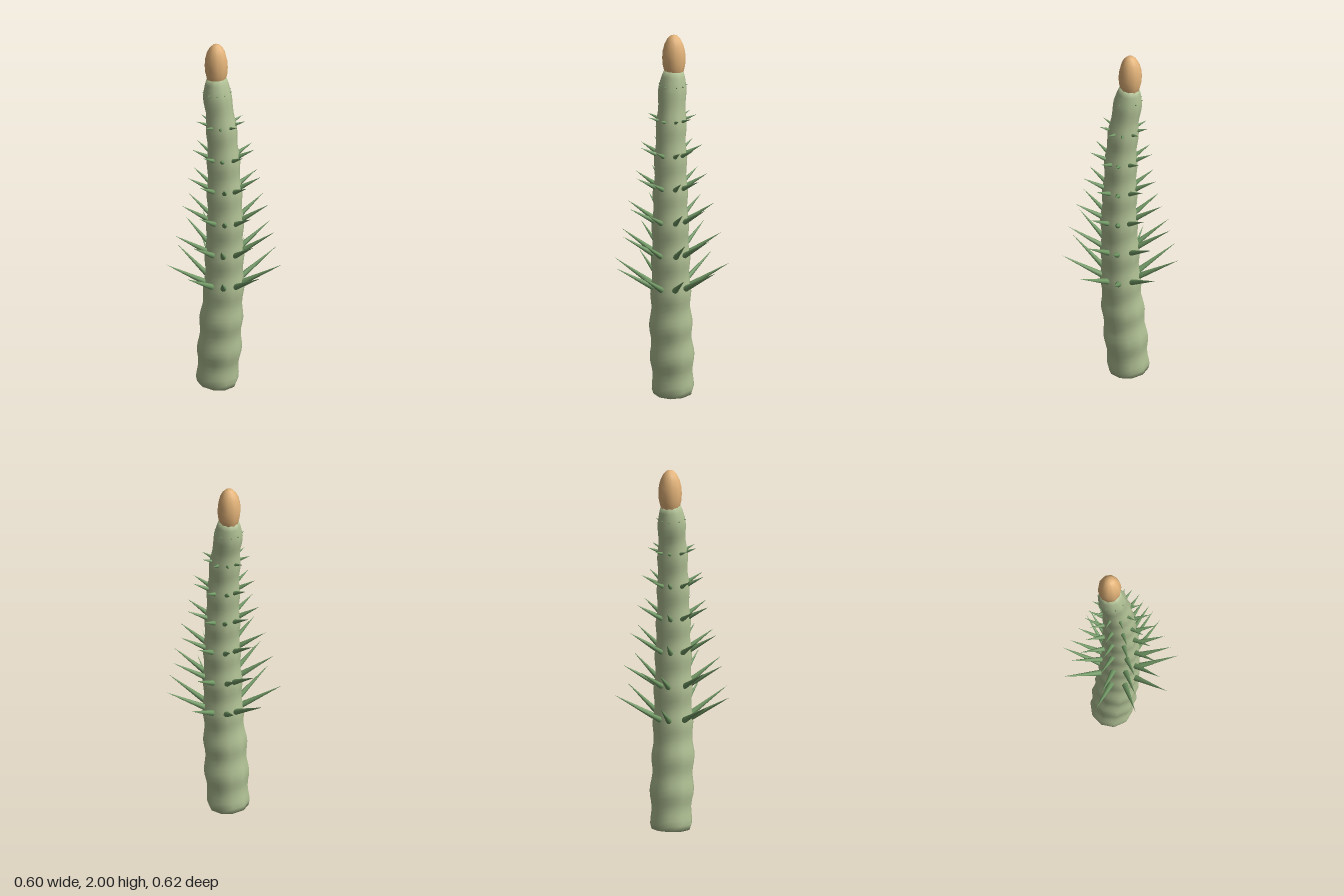
import * as THREE from 'three';
import { mergeVertices } from 'three/addons/utils/BufferGeometryUtils.js';

// Gently bowed centre line of the stalk
const spine = new THREE.CatmullRomCurve3([
  [-0.055, 0.01, -0.022], [-0.041, 0.2, -0.015], [-0.028, 0.4, -0.005], [-0.014, 0.6, -0.002],
  [-0.01, 0.8, 0], [-0.006, 1, 0.002], [-0.012, 1.2, 0], [-0.019, 1.4, -0.003],
  [-0.037, 1.6, -0.012], [-0.052, 1.7, -0.018], [-0.058, 1.8, -0.026],
].map((p) => new THREE.Vector3(...p)));

// Stalk radius by height: [height, radius]
const PROFILE = [[0, 0.1], [0.03, 0.109], [0.2, 0.116], [0.4, 0.113], [0.6, 0.106], [0.8, 0.102], [1, 0.097],
  [1.2, 0.09], [1.4, 0.084], [1.6, 0.077], [1.72, 0.073], [1.77, 0.066], [1.8, 0.056]];
const RING_STEP = 0.184;
const BASE_Y = 0.01;
const STALK_HEIGHT = 1.79;

function stalkRadius(y) {
  let i = 1;
  while (i < PROFILE.length - 1 && PROFILE[i][0] < y) i++;
  const [y0, r0] = PROFILE[i - 1], [y1, r1] = PROFILE[i];
  const base = THREE.MathUtils.lerp(r0, r1, THREE.MathUtils.clamp((y - y0) / (y1 - y0), 0, 1));
  // Soft swelling at every ring
  return base * (1 + 0.045 * Math.cos((2 * Math.PI * (y - 0.59)) / RING_STEP));
}

const upAxis = new THREE.Vector3(0, 1, 0);

function frameAt(y) {
  const u = THREE.MathUtils.clamp((y - BASE_Y) / STALK_HEIGHT, 0, 1);
  return {
    point: spine.getPointAt(u),
    turn: new THREE.Quaternion().setFromUnitVectors(upAxis, spine.getTangentAt(u)),
  };
}

// Small seeded generator for the irregular spines
function seeded(seed) {
  return () => {
    seed = (seed * 16807) % 2147483647;
    return seed / 2147483647;
  };
}

function makeStalk(material) {
  let geo = new THREE.CylinderGeometry(1, 1, STALK_HEIGHT, 10, 60);
  const pos = geo.attributes.position;
  const v = new THREE.Vector3();
  for (let i = 0; i < pos.count; i++) {
    v.fromBufferAttribute(pos, i);
    const y = v.y + STALK_HEIGHT / 2 + BASE_Y;
    const { point, turn } = frameAt(y);
    const r = stalkRadius(y);
    v.set(v.x * r, 0, v.z * r).applyQuaternion(turn).add(point);
    pos.setXYZ(i, v.x, v.y, v.z);
  }
  geo.deleteAttribute('uv');
  geo.deleteAttribute('normal');
  geo = mergeVertices(geo, 1e-5);
  geo.computeVertexNormals();
  const mesh = new THREE.Mesh(geo, material);
  mesh.name = 'stalk';
  return mesh;
}

// Rings of spines: height, outward reach, rise and thickness
const RINGS = [
  [0.62, 0.205, 0.125, 0.0165], [0.805, 0.168, 0.112, 0.0155], [0.99, 0.134, 0.087, 0.0145],
  [1.175, 0.103, 0.062, 0.0135], [1.355, 0.08, 0.047, 0.012], [1.54, 0.05, 0.022, 0.009],
  [1.725, 0.006, 0.002, 0.004],
];
// Clockwise bearings seen from above, in degrees
const BEARINGS = [-2, -39, -81, -124, -155, -202, -242, -280, -319];

function makeSpineRing([y, reach, rise, thick], index, material) {
  const ring = new THREE.Group();
  ring.name = `spineRing${index + 1}`;
  const rand = seeded(97 + index * 31);
  const { point } = frameAt(y);
  const r = stalkRadius(y) * 0.94;
  for (const deg of BEARINGS) {
    const a = THREE.MathUtils.degToRad(deg + (index ? (rand() - 0.5) * 7 : 0));
    const out = new THREE.Vector3(Math.cos(a), 0, Math.sin(a));
    const dir = out.clone().multiplyScalar(reach + 0.006);
    dir.y = rise + (rand() - 0.5) * 0.12 * rise;
    const length = dir.length();
    const geo = new THREE.ConeGeometry(thick, length, 8).translate(0, length / 2, 0);
    const cone = new THREE.Mesh(geo, material);
    cone.name = 'spine';
    cone.position.copy(point).addScaledVector(out, r);
    cone.quaternion.setFromUnitVectors(upAxis, dir.normalize());
    ring.add(cone);
  }
  return ring;
}

export function createModel() {
  const sage = new THREE.MeshStandardMaterial({ name: 'sageGreen', color: 0xb0c094 });
  const leafGreen = new THREE.MeshStandardMaterial({ name: 'leafGreen', color: 0x729a66 });
  const amber = new THREE.MeshStandardMaterial({ name: 'amber', color: 0xe4b47a });

  const model = new THREE.Group();
  model.name = 'spinyStalk';
  model.add(makeStalk(sage));
  RINGS.forEach((ring, i) => model.add(makeSpineRing(ring, i, leafGreen)));

  // Egg-shaped bud at the top
  const bud = new THREE.Mesh(new THREE.SphereGeometry(1, 10, 10), amber);
  bud.name = 'bud';
  bud.scale.set(0.063, 0.13, 0.063);
  bud.position.set(-0.06, 1.87, -0.028);
  model.add(bud);
  return model;
}
